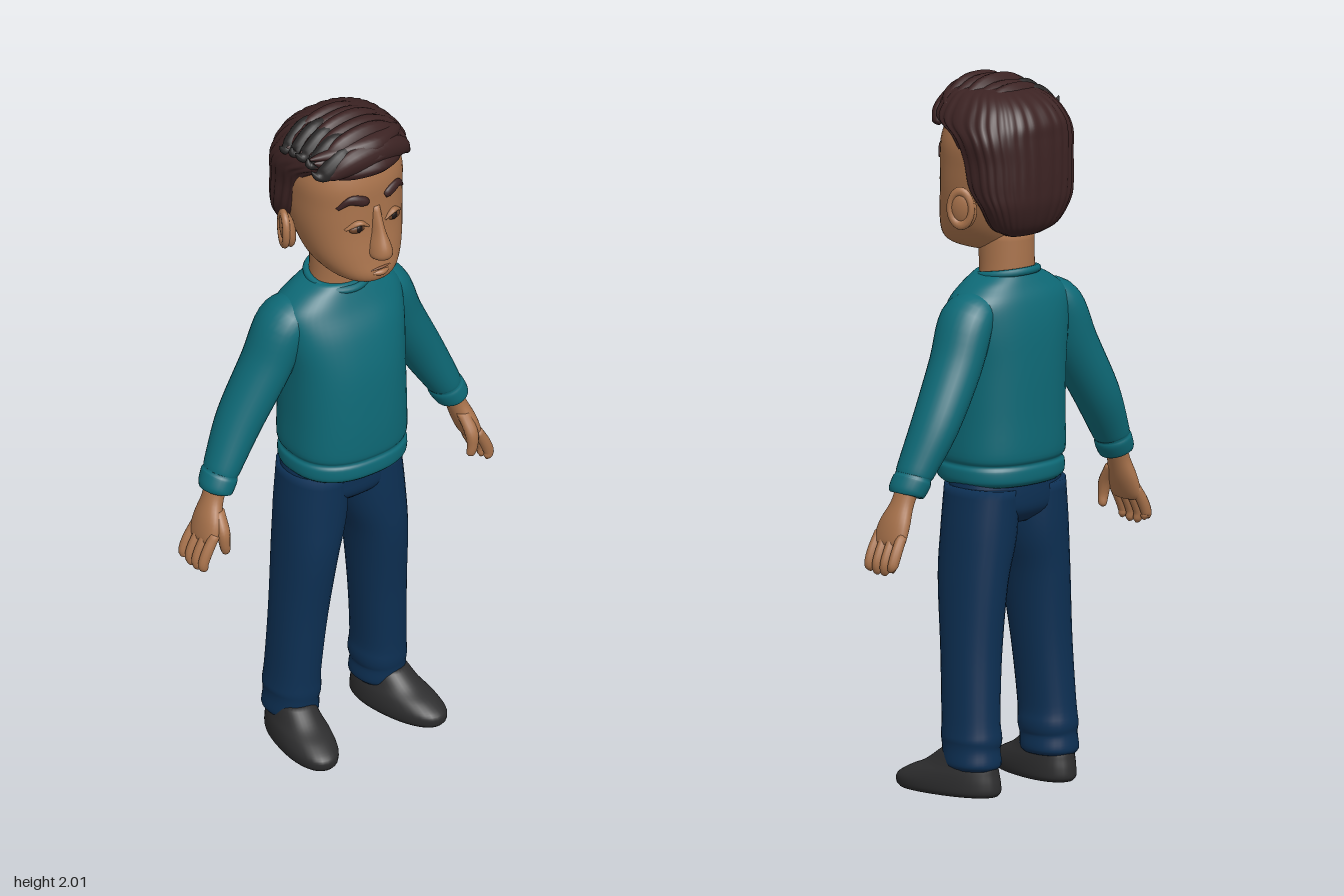
import * as THREE from 'three';

const mat = (name, color) => Object.assign(new THREE.MeshStandardMaterial({ color }), { name });

// Smooth skin through rows of [x, y, z, radius across, radius in z]; rings follow the path in the xy plane.
function loft(rows, { s = 1, seg = 28, steps = 5, pow = 2, ripple = 0, waves = 0, twist = 0 } = {}) {
  const path = new THREE.CatmullRomCurve3(rows.map(r => new THREE.Vector3(r[0] * s, r[1], r[2])), false, 'catmullrom', 0.5);
  const size = new THREE.CatmullRomCurve3(rows.map(r => new THREE.Vector3(r[3], r[4], 0)), false, 'catmullrom', 0.5);
  const n = (rows.length - 1) * steps, pos = [], idx = [];
  const bend = c => Math.sign(c) * Math.abs(c) ** (2 / pow);
  for (let i = 0; i <= n; i++) {
    const c = path.getPoint(i / n), r = size.getPoint(i / n);
    const t = path.getPoint(Math.min(1, (i + 0.5) / n)).sub(path.getPoint(Math.max(0, (i - 0.5) / n)));
    const l = Math.hypot(t.x, t.y) || 1, ux = t.y / l, uy = -t.x / l;
    for (let j = 0; j < seg; j++) {
      const a = j / seg * Math.PI * 2;
      const k = 1 + ripple * (Math.abs(Math.sin(a * waves / 2 + twist * i / n)) - 0.6);
      const p = Math.max(r.x, 0.001) * bend(Math.cos(a)) * k, q = Math.max(r.y, 0.001) * bend(Math.sin(a)) * k;
      pos.push(c.x + ux * p, c.y + uy * p, c.z + q);
    }
  }
  for (let i = 0; i < n; i++) for (let j = 0; j < seg; j++) {
    const a = i * seg + j, b = i * seg + (j + 1) % seg;
    idx.push(a, a + seg, b, b, a + seg, b + seg);
  }
  // end caps
  const first = path.getPoint(0), last = path.getPoint(1), m = pos.length / 3;
  pos.push(first.x, first.y, first.z, last.x, last.y, last.z);
  for (let j = 0; j < seg; j++) {
    const k = (j + 1) % seg;
    idx.push(m, j, k, m + 1, n * seg + k, n * seg + j);
  }
  const g = new THREE.BufferGeometry();
  g.setAttribute('position', new THREE.Float32BufferAttribute(pos, 3));
  g.setIndex(idx);
  g.computeVertexNormals();
  return g;
}

export function createModel() {
  const root = new THREE.Group();
  root.name = 'standingMan';
  const skin = mat('skin', 0xa9734c), lip = mat('lip', 0x8c5a3c), eyeBrown = mat('eyeBrown', 0x6b4329);
  const dark = mat('dark', 0x1c1413), hair = mat('hair', 0x3c2323), darkHair = mat('darkHair', 0x2a2828);
  const teal = mat('sweaterTeal', 0x0e6a77), navy = mat('trouserNavy', 0x0d3054), black = mat('shoeBlack', 0x2d2d2e);

  const add = (name, geo, material) => {
    const m = new THREE.Mesh(geo, material);
    m.name = name;
    root.add(m);
    return m;
  };
  const ball = (name, material, p, sc) => {
    const m = add(name, new THREE.SphereGeometry(1, 24, 16), material);
    m.position.set(...p);
    m.scale.set(...sc);
    return m;
  };

  // head, neck and nose
  add('head', loft([
    [0, 1.515, 0.035, 0.04, 0.07], [0, 1.525, 0.04, 0.075, 0.11], [0, 1.55, 0.037, 0.105, 0.127],
    [0, 1.60, 0.018, 0.134, 0.138], [0, 1.68, -0.006, 0.153, 0.15], [0, 1.76, -0.02, 0.16, 0.16],
    [0, 1.84, -0.025, 0.16, 0.16], [0, 1.92, -0.025, 0.125, 0.125], [0, 1.955, -0.02, 0.05, 0.05],
  ], { seg: 40, pow: 2.3 }), skin);
  add('neck', loft([[0, 1.36, -0.04, 0.10, 0.07], [0, 1.45, -0.045, 0.08, 0.076], [0, 1.58, -0.04, 0.078, 0.08]]), skin);
  add('nose', loft([
    [0, 1.598, 0.15, 0.012, 0.016], [0, 1.612, 0.155, 0.031, 0.038], [0, 1.64, 0.15, 0.03, 0.045],
    [0, 1.69, 0.138, 0.018, 0.034], [0, 1.76, 0.125, 0.014, 0.02],
  ]), skin);
  add('lowerLip', loft([[-0.035, 1.558, 0.153, 0.003, 0.005], [0, 1.556, 0.163, 0.009, 0.01], [0.035, 1.558, 0.153, 0.003, 0.005]]), skin);
  add('mouthLine', loft([
    [-0.05, 1.566, 0.150, 0.002, 0.003], [0, 1.571, 0.163, 0.003, 0.005], [0.05, 1.566, 0.150, 0.002, 0.003],
  ]), lip);

  // sweater body with a ribbed hem and a rolled collar
  add('sweaterBody', loft([
    [0, 0.87, -0.02, 0.165, 0.14], [0, 0.885, -0.02, 0.178, 0.153], [0, 0.915, -0.02, 0.179, 0.154],
    [0, 0.93, -0.02, 0.172, 0.148], [0, 0.955, -0.022, 0.180, 0.157], [0, 1.06, -0.022, 0.178, 0.158],
    [0, 1.20, -0.027, 0.18, 0.153], [0, 1.31, -0.037, 0.192, 0.137], [0, 1.385, -0.047, 0.192, 0.112],
    [0, 1.43, -0.046, 0.145, 0.092], [0, 1.46, -0.045, 0.09, 0.078],
  ], { seg: 48, pow: 2.4 }), teal);
  const collar = add('collar', new THREE.TorusGeometry(0.085, 0.011, 10, 40), teal);
  collar.position.set(0, 1.455, -0.044);
  collar.rotation.x = Math.PI / 2 + 0.16;

  add('trouserSeat', loft([
    [0, 0.755, -0.035, 0.07, 0.07], [0, 0.79, -0.036, 0.16, 0.108], [0, 0.84, -0.037, 0.178, 0.115], [0, 0.91, -0.035, 0.168, 0.112],
  ], { seg: 36, pow: 2.3 }), navy);

  for (const s of [1, -1]) {
    const side = s > 0 ? 'left' : 'right';

    // trouser leg and shoe
    add(side + 'TrouserLeg', loft([
      [0.15, 0.075, -0.06, 0.062, 0.078], [0.15, 0.09, -0.06, 0.073, 0.086], [0.15, 0.13, -0.056, 0.070, 0.086],
      [0.148, 0.16, -0.056, 0.074, 0.09], [0.147, 0.22, -0.052, 0.070, 0.088], [0.136, 0.40, -0.042, 0.074, 0.092],
      [0.120, 0.60, -0.033, 0.081, 0.108], [0.100, 0.73, -0.035, 0.093, 0.113], [0.09, 0.86, -0.037, 0.089, 0.113],
    ], { s, pow: 2.2 }), navy);
    const shoe = add(side + 'Shoe', loft([
      [0, 0, 0, 0.066, 0.158], [0, 0.012, 0, 0.073, 0.167], [0, 0.035, -0.001, 0.074, 0.165],
      [0, 0.06, -0.018, 0.070, 0.143], [0, 0.085, -0.043, 0.062, 0.112], [0, 0.125, -0.062, 0.052, 0.075],
    ], { seg: 36, pow: 2.2 }), black);
    shoe.position.set(0.167 * s, 0, 0.015);
    shoe.rotation.y = 0.18 * s;

    // sleeve and cuff
    add(side + 'Sleeve', loft([
      [0.11, 1.385, -0.06, 0.04, 0.06], [0.172, 1.345, -0.062, 0.066, 0.084], [0.225, 1.225, -0.07, 0.069, 0.08],
      [0.312, 1.07, -0.078, 0.062, 0.072], [0.375, 0.955, -0.069, 0.050, 0.059],
      [0.385, 0.935, -0.067, 0.046, 0.055], [0.391, 0.922, -0.066, 0.050, 0.058], [0.407, 0.893, -0.062, 0.047, 0.055],
      [0.410, 0.886, -0.062, 0.038, 0.045],
    ], { s }), teal);

    // hand with four fingers and a thumb
    add(side + 'Palm', loft([
      [0.402, 0.905, -0.062, 0.028, 0.036], [0.42, 0.86, -0.058, 0.027, 0.037], [0.442, 0.805, -0.05, 0.028, 0.054],
      [0.460, 0.755, -0.048, 0.021, 0.056], [0.465, 0.742, -0.048, 0.008, 0.04],
    ], { s }), skin);
    for (let i = 0; i < 4; i++) {
      const z = -0.09 + i * 0.029, reach = [0.012, 0, 0, 0.006][i];
      add(side + 'Finger', loft([
        [0.452, 0.78, z, 0.015, 0.015], [0.478, 0.735, z * 1.05, 0.0165, 0.0155],
        [0.492, 0.70, z * 1.05, 0.0155, 0.0145], [0.489, 0.678 + reach, z, 0.012, 0.012], [0.486, 0.669 + reach, z, 0.003, 0.003],
      ], { s, seg: 12, steps: 4 }), skin);
    }
    add(side + 'Thumb', loft([
      [0.422, 0.84, -0.03, 0.018, 0.02], [0.428, 0.79, 0.002, 0.019, 0.02], [0.428, 0.75, 0.01, 0.016, 0.015],
      [0.422, 0.722, 0.008, 0.012, 0.012], [0.42, 0.714, 0.006, 0.003, 0.003],
    ], { s, seg: 12 }), skin);

    // ear with raised rim
    const ear = ball(side + 'Ear', skin, [0.17 * s, 1.655, -0.045], [0.022, 0.055, 0.04]);
    ear.rotation.set(0, 0.45 * s, -0.15 * s);
    const rim = add(side + 'EarRim', new THREE.TorusGeometry(0.038, 0.011, 10, 28), skin);
    rim.position.set(0.182 * s, 1.66, -0.047);
    rim.rotation.set(0, Math.PI / 2 + 0.4 * s, 0);
    rim.scale.set(0.85, 1.25, 1);

    // eye, lid and brow
    ball(side + 'Eye', eyeBrown, [0.06 * s, 1.705, 0.129], [0.027, 0.015, 0.014]);
    ball(side + 'Pupil', dark, [0.06 * s, 1.706, 0.139], [0.011, 0.012, 0.006]);
    add(side + 'UpperLid', loft([
      [0.028, 1.705, 0.138, 0.003, 0.006], [0.06, 1.724, 0.137, 0.008, 0.011], [0.095, 1.704, 0.118, 0.003, 0.007],
    ], { s, seg: 12 }), skin);
    add(side + 'Brow', loft([
      [0.03, 1.782, 0.138, 0.009, 0.007], [0.045, 1.79, 0.137, 0.015, 0.010], [0.08, 1.798, 0.127, 0.014, 0.010],
      [0.112, 1.772, 0.106, 0.004, 0.006],
    ], { s, seg: 14 }), hair);
  }

  // hair: cap that wraps the back and sides
  add('hairCap', loft([
    [0, 1.572, -0.108, 0.06, 0.03], [0, 1.60, -0.113, 0.11, 0.06], [0, 1.66, -0.118, 0.148, 0.078],
    [0, 1.715, -0.098, 0.165, 0.103], [0, 1.79, -0.085, 0.169, 0.115], [0, 1.85, -0.068, 0.178, 0.128],
    [0, 1.895, -0.025, 0.170, 0.165], [0, 1.94, -0.012, 0.142, 0.145], [0, 1.97, 0, 0.10, 0.10], [0, 1.98, 0, 0.03, 0.03],
  ], { seg: 144, pow: 2.5, ripple: 0.035, waves: 30, twist: 1.6, steps: 6 }), hair);

  // swept locks running from the parting across the crown
  for (let i = 0; i < 7; i++) {
    const z = -0.10 + i * 0.037, lift = [-0.028, -0.01, 0, 0.006, 0.008, 0, -0.022][i], w = i % 2 * 0.008;
    add('sweptLock', loft([
      [0.135, 1.895 + lift, z * 0.8, 0.01, 0.015], [0.10, 1.925 + lift, z * 0.9, 0.03, 0.026],
      [0.02, 1.948 + lift, z, 0.042 + w, 0.032], [-0.07, 1.942 + lift, z, 0.04 + w, 0.03], [-0.13, 1.92 + lift, z * 0.9, 0.022, 0.02],
      [-0.158 - w, 1.925 + lift, z * 0.85, 0.002, 0.002],
    ], { seg: 16 }), hair);
  }
  // dark flicked tips on one side
  for (let i = 0; i < 5; i++) {
    const z = -0.07 + i * 0.043, d = [-0.01, 0.0, 0.004, 0, -0.02][i];
    add('darkLock', loft([
      [-0.04, 1.962 + d, z, 0.022, 0.012], [-0.09, 1.952 + d, z, 0.032, 0.027], [-0.14, 1.92 + d, z * 0.95, 0.027, 0.025],
      [-0.168, 1.915 + d, z * 0.9, 0.013, 0.014], [-0.187 + i % 2 * 0.015, 1.935 + d, z * 0.85, 0.001, 0.001],
    ], { seg: 14 }), darkHair);
  }
  // fringe rolls over the forehead
  for (let i = 0; i < 3; i++) {
    const y = 1.885 + i * 0.03, z = 0.128 - i * 0.008;
    add('fringeRoll', loft([
      [0.135, y - 0.015, 0.06, 0.008, 0.01], [0.085, y, z - 0.025, 0.022, 0.03], [0, y + 0.008, z, 0.027, 0.037],
      [-0.09, y, z - 0.022, 0.022, 0.03], [-0.15 - i * 0.012, y - 0.008, 0.065, 0.004, 0.005],
    ], { seg: 16 }), hair);
  }
  return root;
}
